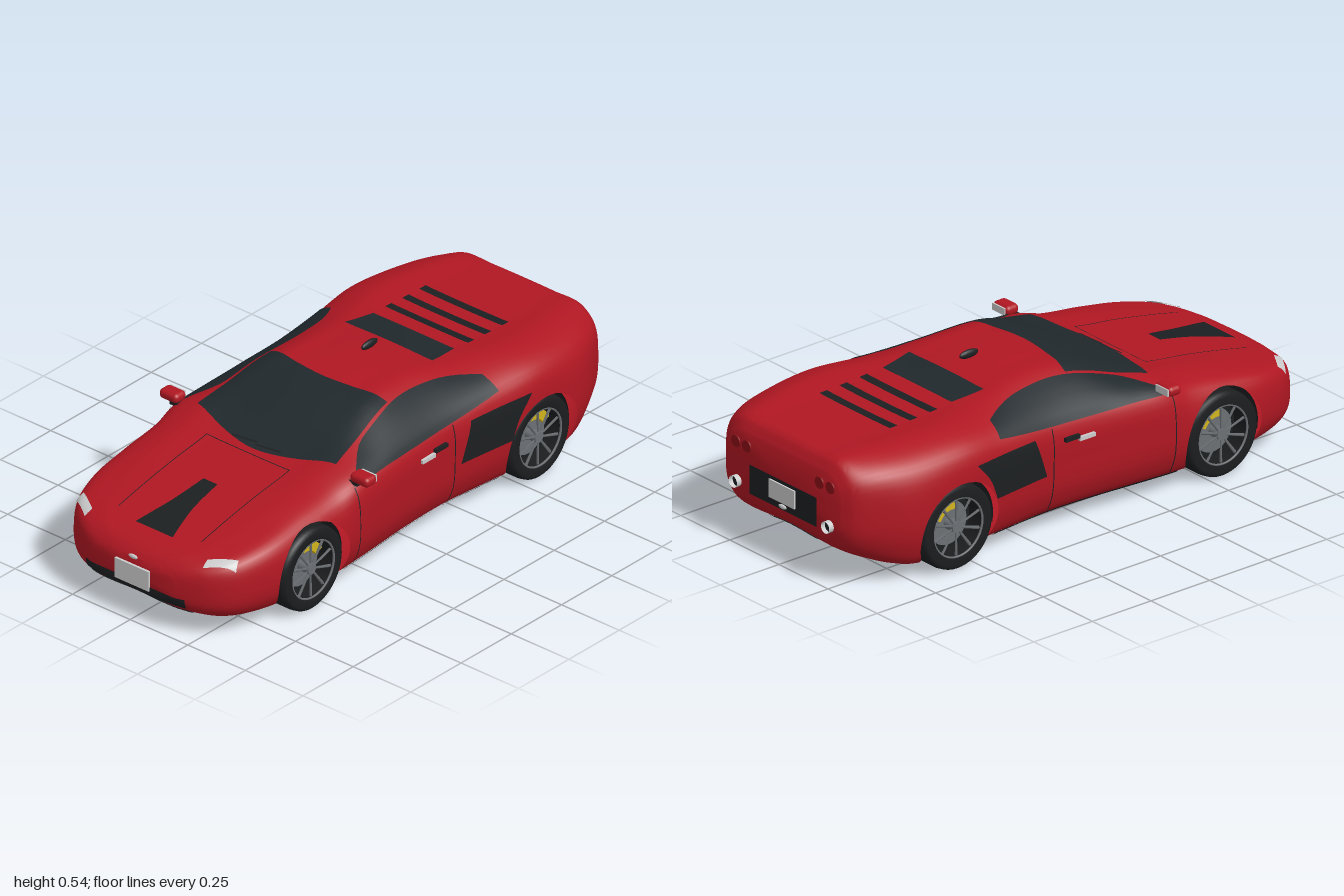
import * as THREE from 'three';
import { toCreasedNormals } from 'three/addons/utils/BufferGeometryUtils.js';
import { RoundedBoxGeometry } from 'three/addons/geometries/RoundedBoxGeometry.js';

const V = (x, y, z) => new THREE.Vector3(x, y, z);
const paint = (color) => new THREE.MeshStandardMaterial({ color, side: THREE.DoubleSide });
const RED = paint(0xb01722), DARK = paint(0x1c1f21), GLASS = paint(0x20282c), TYRE = paint(0x1b1d1f);
const SILVER = paint(0xcccccc), STEEL = paint(0x6c7074), YELLOW = paint(0xd2b41c), LAMP = paint(0x8c0f16);
const WHEEL_Z = [0.555, -0.575], WHEEL_Y = 0.15, ARCH = 0.166;

// Body stations: z, centre top, roof edge x y, belt x y, widest x, floor y
const STATIONS = [
  [0.985, 0.235, 0.10, 0.23, 0.16, 0.21, 0.18, 0.12],
  [0.965, 0.255, 0.13, 0.25, 0.22, 0.228, 0.235, 0.10],
  [0.93, 0.272, 0.19, 0.27, 0.28, 0.248, 0.30, 0.085],
  [0.87, 0.29, 0.24, 0.288, 0.335, 0.268, 0.355, 0.07],
  [0.75, 0.318, 0.27, 0.315, 0.375, 0.292, 0.40, 0.06],
  [0.58, 0.348, 0.29, 0.35, 0.385, 0.318, 0.42, 0.055],
  [0.42, 0.37, 0.29, 0.375, 0.39, 0.338, 0.425, 0.055],
  [0.33, 0.398, 0.30, 0.40, 0.40, 0.36, 0.422, 0.055],
  [0.20, 0.455, 0.27, 0.437, 0.395, 0.368, 0.412, 0.055],
  [0.05, 0.502, 0.23, 0.488, 0.385, 0.375, 0.40, 0.055],
  [-0.15, 0.508, 0.22, 0.495, 0.38, 0.385, 0.395, 0.055],
  [-0.35, 0.478, 0.26, 0.47, 0.39, 0.40, 0.412, 0.055],
  [-0.55, 0.457, 0.30, 0.465, 0.41, 0.41, 0.432, 0.055],
  [-0.75, 0.452, 0.29, 0.456, 0.395, 0.40, 0.425, 0.057],
  [-0.88, 0.45, 0.26, 0.45, 0.355, 0.395, 0.375, 0.10],
  [-0.95, 0.44, 0.25, 0.435, 0.315, 0.38, 0.33, 0.135],
  [-0.98, 0.40, 0.23, 0.395, 0.275, 0.36, 0.285, 0.17],
];

function section([z, top, rx, ry, bx, by, sx, bot]) {
  return [V(0, top, z), V(rx * 0.55, top * 0.75 + ry * 0.25, z), V(rx, ry, z), V(bx, by, z),
    V(sx, bot + (by - bot) * 0.55, z), V(sx * 0.965, bot + (by - bot) * 0.2, z), V(sx - 0.06, bot, z), V(0, bot, z)];
}

// Smooth loft through the stations, closed at both ends
function bodyTriangles() {
  const sections = STATIONS.map(section), ROWS = 96, N = 84, rows = [], tris = [];
  const rails = sections[0].map((_, k) => new THREE.CatmullRomCurve3(sections.map((s) => s[k])));
  for (let i = 0; i <= ROWS; i++) {
    const half = rails.map((r) => r.getPoint(i / ROWS));
    const other = half.slice(1, -1).reverse().map((p) => V(-p.x, p.y, p.z));
    const loop = new THREE.CatmullRomCurve3([...half, ...other], true);
    rows.push(Array.from({ length: N }, (_, j) => loop.getPoint(j / N)));
  }
  const mid = (r) => V(0, (r[0].y + r[N / 2].y) / 2, r[0].z);
  const front = rows[0], back = rows[ROWS];
  for (let j = 0; j < N; j++) {
    const k = (j + 1) % N;
    tris.push([mid(front), front[k], front[j]], [mid(back), back[j], back[k]]);
    for (let i = 0; i < ROWS; i++) {
      const a = rows[i], b = rows[i + 1];
      tris.push([a[j], a[k], b[j]], [a[k], b[k], b[j]]);
    }
  }
  return tris;
}

// Trim away the wheel openings
function cutArches(tris) {
  const f = (p) => Math.max(0.25 - Math.abs(p.x),
    Math.min(...WHEEL_Z.map((z) => Math.hypot(p.z - z, p.y - WHEEL_Y))) - ARCH);
  const out = [];
  for (const t of tris) {
    const poly = [];
    t.forEach((p, i) => {
      const q = t[(i + 1) % 3], a = f(p), b = f(q);
      if (a >= 0) poly.push(p);
      if (a * b < 0) poly.push(p.clone().lerp(q, a / (a - b)));
    });
    for (let i = 2; i < poly.length; i++) out.push([poly[0], poly[i - 1], poly[i]]);
  }
  return out;
}

const toGeometry = (tris) => toCreasedNormals(new THREE.BufferGeometry().setFromPoints(tris.flat()), 0.75);

export function createModel() {
  const car = new THREE.Group();
  car.name = 'sportsCar';
  const add = (name, geo, mat, x = 0, y = 0, z = 0, parent = car) => {
    const m = new THREE.Mesh(geo, mat);
    m.name = name;
    m.position.set(x, y, z);
    parent.add(m);
    return m;
  };
  const box = (w, h, d) => new THREE.BoxGeometry(w, h, d);
  const axle = (r, w, n = 32) => new THREE.CylinderGeometry(r, r, w, n).rotateZ(Math.PI / 2);

  const tris = bodyTriangles();
  add('body', toGeometry(cutArches(tris)), RED);

  // Thin panels laid on the body: a strip between two edges, projected along one axis
  const solid = new THREE.Mesh(toGeometry(tris), RED), ray = new THREE.Raycaster();
  const aim = {
    top: (a, b) => [V(a, 2, b), V(0, -1, 0)], bottom: (a, b) => [V(a, -2, b), V(0, 1, 0)],
    front: (a, b) => [V(a, b, 2), V(0, 0, -1)], back: (a, b) => [V(a, b, -2), V(0, 0, 1)],
    left: (a, b) => [V(2, b, a), V(-1, 0, 0)], right: (a, b) => [V(-2, b, a), V(1, 0, 0)],
  };
  function panel(name, mat, from, edgeA, edgeB, lift = 0.003, nu = 12, nv = 8) {
    const [A, B] = [edgeA, edgeB].map((e) => new THREE.SplineCurve(e.map((p) => new THREE.Vector2(...p))));
    const geo = new THREE.PlaneGeometry(1, 1, nu, nv), pos = geo.attributes.position;
    let last = V(0, 0.2, 0);
    for (let j = 0, n = 0; j <= nv; j++) for (let i = 0; i <= nu; i++, n++) {
      const p = A.getPoint(i / nu).lerp(B.getPoint(i / nu), j / nv);
      ray.set(...aim[from](p.x, p.y));
      const hit = ray.intersectObject(solid)[0];
      if (hit) last = hit.point.addScaledVector(hit.face.normal, lift);
      pos.setXYZ(n, last.x, last.y, last.z);
    }
    geo.computeVertexNormals();
    return add(name, geo, mat);
  }
  const rect = (name, mat, from, a0, a1, b0, b1, nu = 12, nv = 3) =>
    panel(name, mat, from, [[a0, b0], [a1, b0]], [[a0, b1], [a1, b1]], 0.003, nu, nv);

  // Glass
  panel('windscreen', GLASS, 'top', [[-0.25, 0.01], [0, 0.045], [0.25, 0.01]], [[-0.30, 0.32], [0, 0.39], [0.30, 0.32]], 0.003, 20, 16);
  panel('rearWindow', GLASS, 'top', [[-0.19, -0.285], [0.19, -0.285]], [[-0.175, -0.41], [0.175, -0.41]]);
  for (const z of [-0.49, -0.575, -0.66]) rect('engineLouvre', DARK, 'top', -0.18, 0.18, z - 0.016, z + 0.016);

  // Bonnet
  panel('bonnetVent', DARK, 'top', [[-0.03, 0.6], [-0.045, 0.74], [-0.08, 0.88]], [[0.03, 0.6], [0.045, 0.74], [0.08, 0.88]]);
  rect('bonnetRearSeam', DARK, 'top', -0.18, 0.18, 0.412, 0.415, 12, 1);
  for (const s of [-1, 1]) {
    panel('wiper', DARK, 'top', [[s * 0.05 - 0.05, 0.372], [s * 0.05 + 0.05, 0.36]], [[s * 0.05 - 0.05, 0.38], [s * 0.05 + 0.05, 0.368]], 0.008, 8, 1);
  }

  // Nose
  rect('frontGrille', DARK, 'front', -0.213, 0.213, 0.11, 0.145, 20);
  rect('lowerGrille', DARK, 'front', -0.213, 0.213, 0.076, 0.1, 20);
  panel('frontLip', DARK, 'bottom', [[-0.31, 0.7], [0.31, 0.7]], [[-0.27, 0.85], [0.27, 0.85]]);
  add('frontPlate', box(0.147, 0.074, 0.016), SILVER, 0, 0.168, 0.986);
  const badge = new THREE.SphereGeometry(1, 16, 8).scale(0.02, 0.008, 0.006);
  add('frontBadge', badge, SILVER, 0, 0.233, 0.985);

  // Tail
  rect('rearPanel', DARK, 'back', -0.17, 0.17, 0.19, 0.295);
  add('rearPlate', box(0.13, 0.065, 0.01), SILVER, 0, 0.25, -0.985);
  add('rearBadge', badge, SILVER, 0, 0.203, -0.984);
  panel('diffuser', DARK, 'bottom', [[-0.14, -0.84], [0.14, -0.84]], [[-0.12, -0.95], [0.12, -0.95]]);
  for (const x of [-0.15, -0.05, 0.05, 0.15]) {
    const fin = add('diffuserFin', new THREE.ConeGeometry(0.014, 0.05, 4), DARK, x, 0.068, -0.79);
    fin.rotation.x = -2.2;
    fin.scale.x = 0.4;
  }

  // Roof aerial
  add('aerial', new THREE.SphereGeometry(1, 16, 12).scale(0.01, 0.015, 0.04), DARK, 0, 0.52, -0.19);

  for (const s of [-1, 1]) {
    const side = s > 0 ? 'left' : 'right';
    panel('sideWindow', GLASS, side,
      [[0.33, 0.375], [0.18, 0.435], [0, 0.479], [-0.2, 0.477], [-0.375, 0.448]],
      [[0.34, 0.362], [0.18, 0.37], [0, 0.374], [-0.2, 0.384], [-0.385, 0.405]], 0.003, 24, 8);
    panel('sideVent', DARK, side, [[-0.19, 0.218], [-0.215, 0.29], [-0.24, 0.36]], [[-0.42, 0.214], [-0.452, 0.29], [-0.51, 0.36]]);
    rect('doorFrontSeam', DARK, side, 0.338, 0.342, 0.08, 0.36, 1, 10);
    rect('doorRearSeam', DARK, side, -0.162, -0.158, 0.08, 0.375, 1, 10);
    rect('sillStrip', DARK, side, 0.38, -0.40, 0.061, 0.072, 20, 1);
    rect('bonnetSideSeam', DARK, 'top', s * 0.178, s * 0.181, 0.412, 0.85, 1, 14);
    panel('headlight', SILVER, 'top', [[s * 0.25, 0.9], [s * 0.335, 0.845]], [[s * 0.255, 0.93], [s * 0.345, 0.87]], 0.004);
    add('doorHandle', box(0.012, 0.014, 0.065), SILVER, s * 0.402, 0.315, -0.022);
    add('handleRecess', box(0.012, 0.014, 0.06), DARK, s * 0.402, 0.327, -0.085);

    // Door mirror
    add('mirrorShell', new RoundedBoxGeometry(0.08, 0.036, 0.055, 4, 0.016), RED, s * 0.414, 0.393, 0.315);
    add('mirrorGlass', box(0.062, 0.024, 0.006), SILVER, s * 0.416, 0.393, 0.287);
    add('mirrorArm', box(0.045, 0.012, 0.025), DARK, s * 0.385, 0.374, 0.325);

    // Exhaust and tail lights
    add('exhaust', new THREE.CylinderGeometry(0.021, 0.021, 0.06, 20, 1, true).rotateX(Math.PI / 2), SILVER, s * 0.235, 0.215, -0.97);
    add('exhaustCore', new THREE.CircleGeometry(0.02, 20), DARK, s * 0.235, 0.215, -0.984);
    for (const x of [0.185, 0.24]) {
      add('tailLight', new THREE.CylinderGeometry(0.021, 0.021, 0.012, 20).rotateX(Math.PI / 2), LAMP, s * x, 0.355, -0.979);
    }

    for (const z of WHEEL_Z) {
      // Arch liner and inner wall
      const liner = new THREE.CylinderGeometry(ARCH, ARCH, 0.135, 40, 1, true, -Math.PI / 2 - 0.2, Math.PI + 0.4);
      add('archLiner', liner.rotateX(-Math.PI / 2).rotateY(Math.PI / 2), DARK, s * 0.3175, WHEEL_Y, z);
      add('archWall', new THREE.CircleGeometry(ARCH, 40, -0.55, Math.PI + 1.1).rotateY(Math.PI / 2), DARK, s * 0.251, WHEEL_Y, z);
      addWheel(s, z);
    }
  }

  // Wheel, with its open face towards side s
  function addWheel(s, z) {
    const wheel = new THREE.Group();
    wheel.name = 'wheel';
    wheel.position.set(s * 0.35, WHEEL_Y, z);
    car.add(wheel);
    const profile = [[0.102, -0.058], [0.135, -0.06], [0.147, -0.052], [0.15, -0.035], [0.15, 0.035], [0.147, 0.052],
      [0.135, 0.06], [0.106, 0.058], [0.102, 0.05], [0.102, -0.058]].map((p) => new THREE.Vector2(...p));
    add('tyre', new THREE.LatheGeometry(profile, 48).rotateZ(-Math.PI / 2), TYRE, 0, 0, 0, wheel);
    add('rimBack', axle(0.102, 0.01), DARK, -s * 0.015, 0, 0, wheel);
    add('brakeDisc', axle(0.078, 0.01), STEEL, 0, 0, 0, wheel);
    add('rimRing', new THREE.TorusGeometry(0.104, 0.004, 6, 40).rotateY(Math.PI / 2), STEEL, s * 0.055, 0, 0, wheel);
    const arc = new THREE.Shape().absarc(0, 0, 0.088, 0.45, 1.75).absarc(0, 0, 0.055, 1.75, 0.45, true);
    const caliper = new THREE.ExtrudeGeometry(arc, { depth: 0.02, bevelEnabled: false });
    add('brakeCaliper', caliper.rotateY(Math.PI / 2), YELLOW, s * 0.016 - 0.01, 0, 0, wheel);
    for (let i = 0; i < 10; i++) {
      const spoke = new THREE.CylinderGeometry(0.006, 0.004, 0.09, 4).translate(0, 0.058, 0);
      add('spoke', spoke.rotateX((i / 10) * Math.PI * 2), STEEL, s * 0.045, 0, 0, wheel);
    }
    add('hub', axle(0.02, 0.06, 20), STEEL, s * 0.022, 0, 0, wheel);
  }
  return car;
}
